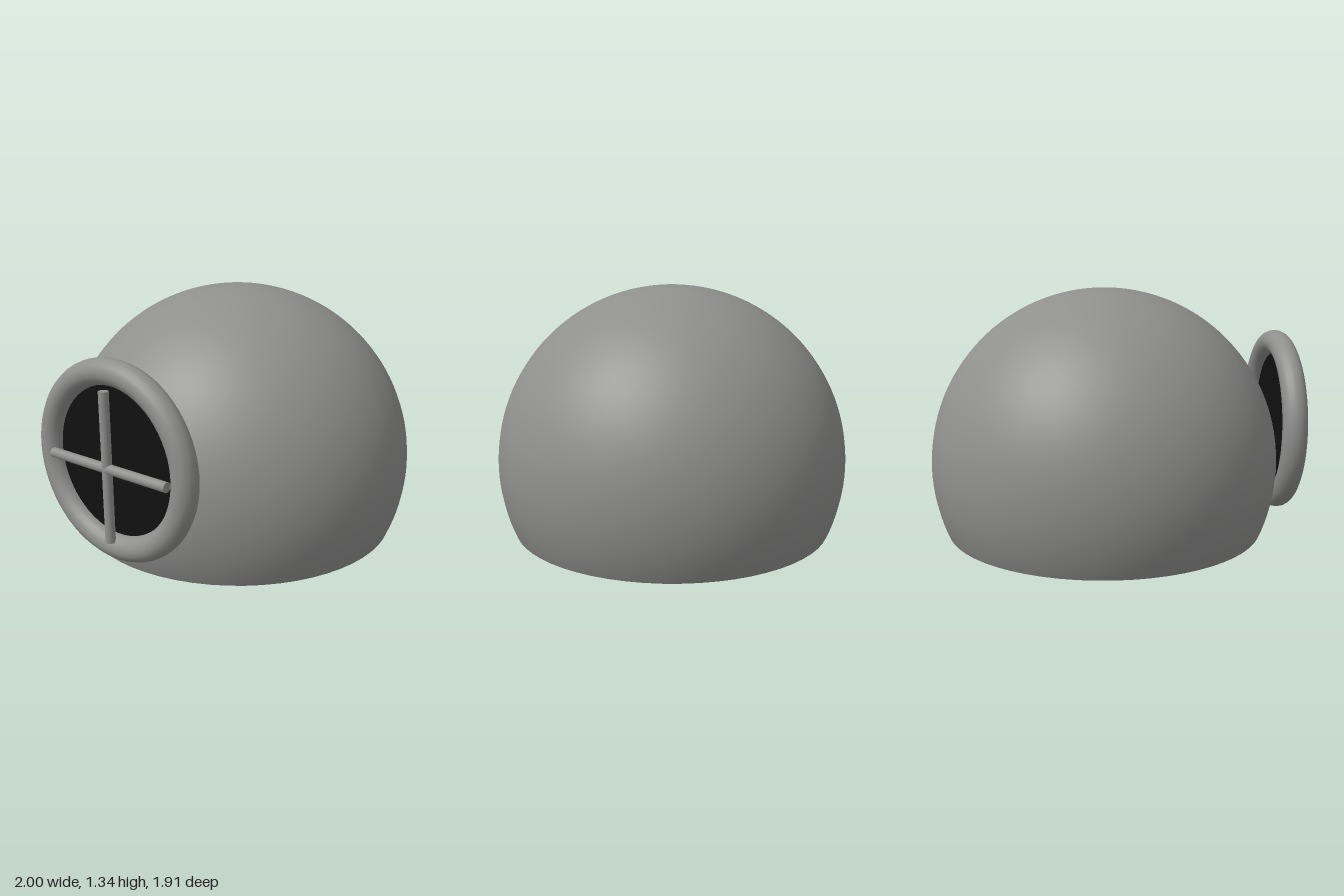
import * as THREE from 'three';

export function createModel() {
  const model = new THREE.Group();
  const grey = new THREE.MeshStandardMaterial({ color: 0x8f8f8e });
  const black = new THREE.MeshStandardMaterial({ color: 0x101010, side: THREE.DoubleSide });

  const add = (name, geometry, material, x, y, z = 0) => {
    const mesh = new THREE.Mesh(geometry, material);
    mesh.name = name;
    mesh.position.set(x, y, z);
    model.add(mesh);
    return mesh;
  };

  // Dome: a sphere cut flat at the ground
  const radius = 0.957, domeX = 0.042, domeY = 0.378;
  const cutAngle = Math.acos(-domeY / radius);
  add('dome', new THREE.SphereGeometry(radius, 64, 40, 0, Math.PI * 2, 0, cutAngle), grey, domeX, domeY);

  // Flat underside
  const floor = new THREE.CircleGeometry(radius * Math.sin(cutAngle), 64).rotateX(Math.PI / 2);
  add('floor', floor, grey, domeX, 0);

  // Round window on the right side: frame, dark pane and crossed bars
  const windowX = -0.921, windowY = 0.596;
  add('windowFrame', new THREE.TorusGeometry(0.4365, 0.0645, 20, 64).rotateY(Math.PI / 2), grey, windowX, windowY);
  add('windowPane', new THREE.CircleGeometry(0.42, 64).rotateY(-Math.PI / 2), black, windowX, windowY);

  const barGeometry = new THREE.CylinderGeometry(0.025, 0.025, 0.754, 16);
  add('verticalBar', barGeometry, grey, -0.975, 0.576);
  add('horizontalBar', barGeometry, grey, -0.975, 0.576).rotation.x = Math.PI / 2;

  return model;
}
